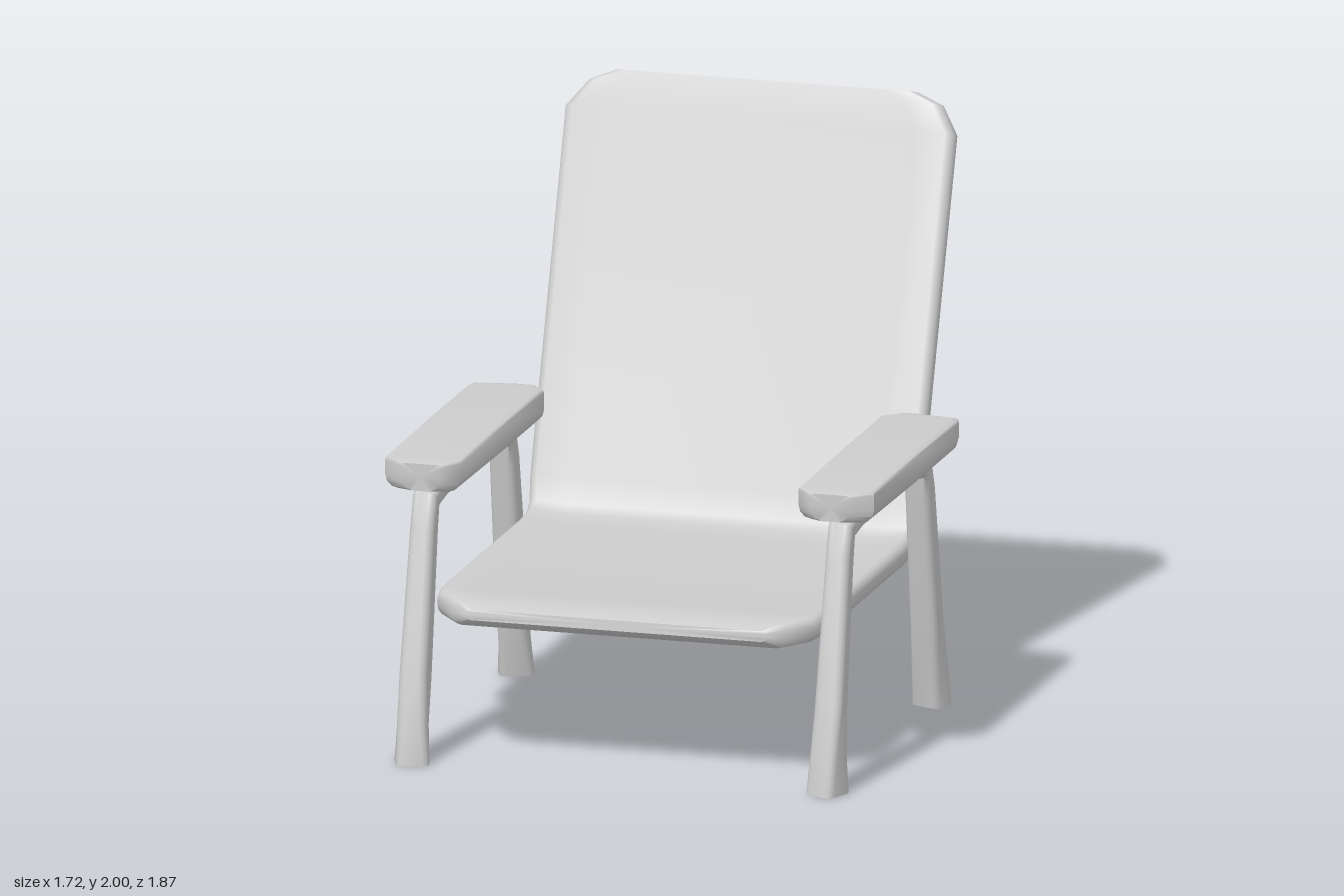
import * as THREE from 'three';
import { toCreasedNormals } from 'three/addons/utils/BufferGeometryUtils.js';

const material = new THREE.MeshStandardMaterial({ color: 0xcccccc });

// Rounded section, counter-clockwise: half width w, half thickness h, corner
// radii at bottom and top, sag of the underside and dish of the top side.
function section({ w, h, sag = 0, dish = 0 }, rBottom, rTop) {
  const pts = [];
  const steps = 3;
  const corner = (cx, cy, r, start) => {
    for (let i = 0; i <= steps; i++) {
      const a = start + (i / steps) * Math.PI / 2;
      pts.push([cx + r * Math.cos(a), cy + r * Math.sin(a)]);
    }
  };
  const rb = Math.min(rBottom, w, h), rt = Math.min(rTop, w, h);
  pts.push([-w * 0.54, -h - sag], [w * 0.54, -h - sag]);
  if (sag) pts.push([w * 0.7, -h - sag * 0.15]);
  else pts.push([w - rb, -h]);
  corner(w - rb, -h + rb, rb, -Math.PI / 2);
  corner(w - rt, h - rt, rt, 0);
  const d = Math.min(w * 0.8, w - rt);
  pts.push([d, h - dish], [-d, h - dish]);
  corner(-w + rt, h - rt, rt, Math.PI / 2);
  corner(-w + rb, -h + rb, rb, Math.PI);
  if (sag) pts.push([-w * 0.7, -h - sag * 0.15]);
  else pts.push([-w + rb, -h]);
  return pts;
}

// Sweeps sections along a path in the z-y plane.
// Station: { z, y, x, w, h, sag, dish, n, twist } where n = [nz, ny] overrides
// the section's up direction and twist turns the section about the path.
function sweep(name, stations, rBottom, rTop) {
  const dir = (a, b) => new THREE.Vector2(b.z - a.z, b.y - a.y).normalize();
  const pos = [], index = [];
  let count = 0;
  stations.forEach((s, i) => {
    const t = new THREE.Vector2();
    if (i > 0) t.add(dir(stations[i - 1], s));
    if (i < stations.length - 1) t.add(dir(s, stations[i + 1]));
    t.normalize();
    const [nz, ny] = s.n || [t.y, -t.x];
    const c = Math.cos(s.twist || 0), d = Math.sin(s.twist || 0);
    const ring = section(s, rBottom, rTop);
    count = ring.length;
    for (const [p, q] of ring) {
      const u = p * c - q * d, v = p * d + q * c;
      pos.push((s.x || 0) + u, s.y + ny * v, s.z + nz * v);
    }
  });
  const last = stations.length - 1;
  for (let i = 0; i < last; i++) {
    for (let j = 0; j < count; j++) {
      const a = i * count + j, b = i * count + (j + 1) % count;
      index.push(a, a + count, b, b, a + count, b + count);
    }
  }
  // End caps
  for (const [i, flip] of [[0, false], [last, true]]) {
    const c = pos.length / 3, s = stations[i];
    pos.push(s.x || 0, s.y, s.z);
    for (let j = 0; j < count; j++) {
      const a = i * count + j, b = i * count + (j + 1) % count;
      if (flip) index.push(c, b, a);
      else index.push(c, a, b);
    }
  }
  const geo = new THREE.BufferGeometry();
  geo.setAttribute('position', new THREE.Float32BufferAttribute(pos, 3));
  geo.setIndex(index);
  const mesh = new THREE.Mesh(toCreasedNormals(geo, 0.9), material);
  mesh.name = name;
  return mesh;
}

export function createModel() {
  const chair = new THREE.Group();
  chair.name = 'armchair';

  // Seat and reclined back as one gently dished slab with clipped corners
  chair.add(sweep('seatAndBack', [
    { z: 0.912, y: 0.54, w: 0.53, h: 0.018 },
    { z: 0.87, y: 0.534, w: 0.59, h: 0.042 },
    { z: 0.79, y: 0.54, w: 0.665, h: 0.043 },
    { z: 0.72, y: 0.542, w: 0.677, h: 0.043, dish: 0.006 },
    { z: 0.65, y: 0.543, w: 0.68, h: 0.043, sag: 0.044, dish: 0.012 },
    { z: -0.22, y: 0.545, w: 0.68, h: 0.043, sag: 0.028, dish: 0.014 },
    { z: -0.32, y: 0.555, w: 0.68, h: 0.044, sag: 0.01, dish: 0.014 },
    { z: -0.375, y: 0.585, w: 0.68, h: 0.044, sag: 0.005, dish: 0.012, x: -0.004 },
    { z: -0.42, y: 0.68, w: 0.685, h: 0.043, sag: 0.003, dish: 0.01, x: -0.008 },
    { z: -0.842, y: 1.86, w: 0.686, h: 0.043, dish: 0.003, x: -0.008 },
    { z: -0.879, y: 1.95, w: 0.62, h: 0.042 },
    { z: -0.892, y: 1.985, w: 0.53, h: 0.04 },
  ], 0.035, 0.03));

  for (const [side, sx] of [['left', 1], ['right', -1]]) {
    // Armrest: flat top, rounded underside, clipped ends
    const arm = (z, x, w, h) => ({ z, y: 0.975, x: sx * x, w, h });
    chair.add(sweep(side + 'Armrest', [
      arm(0.8, 0.72, 0.07, 0.047),
      arm(0.75, 0.727, 0.133, 0.055),
      arm(0.2, 0.727, 0.135, 0.058),
      arm(-0.23, 0.727, 0.135, 0.057),
      arm(-0.27, 0.74, 0.115, 0.055),
      arm(-0.302, 0.68, 0.04, 0.052),
    ], 0.045, 0.012));

    // Leg frame: front leg, rail under the armrest and back leg, feet turned outward
    const leg = (z, y, w, h, turn = 0, n) => ({ z, y, w, h, n, twist: sx * turn, x: sx * 0.731 });
    chair.add(sweep(side + 'LegFrame', [
      leg(0.868, 0, 0.057, 0.06, 0.35, [1, 0]),
      leg(0.857, 0.13, 0.051, 0.054, 0.2),
      leg(0.826, 0.29, 0.049, 0.05),
      leg(0.724, 0.78, 0.043, 0.044),
      leg(0.698, 0.873, 0.043, 0.042),
      leg(0.61, 0.902, 0.052, 0.04),
      leg(-0.11, 0.902, 0.052, 0.04),
      leg(-0.205, 0.87, 0.043, 0.046),
      leg(-0.23, 0.78, 0.044, 0.05),
      leg(-0.312, 0.3, 0.049, 0.053),
      leg(-0.347, 0.13, 0.052, 0.052, -0.2),
      leg(-0.37, 0, 0.06, 0.046, -0.4, [-1, 0]),
    ], 0.025, 0.025));
  }
  return chair;
}
